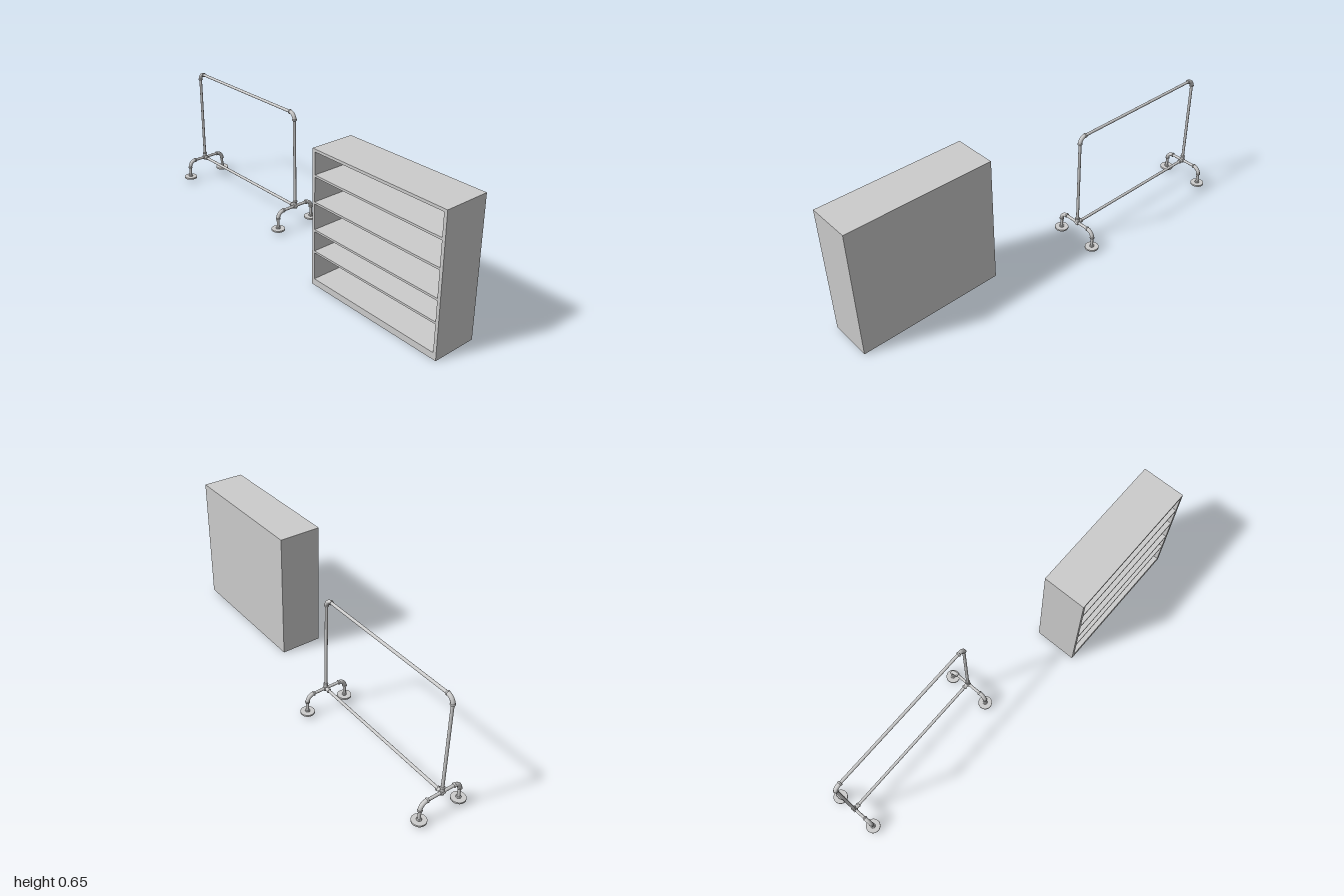
import * as THREE from 'three';

const material = new THREE.MeshStandardMaterial({ color: 0xcccccc, side: THREE.DoubleSide });
const V = (x, y, z) => new THREE.Vector3(x, y, z);
const UP = V(0, 1, 0);
const PIPE_R = 0.007, RING_R = 0.0115, ELBOW_R = 0.0095;

function add(parent, name, geometry, position = V(0, 0, 0)) {
  const mesh = new THREE.Mesh(geometry, material);
  mesh.name = name;
  mesh.position.copy(position);
  parent.add(mesh);
  return mesh;
}

// Straight round bar between two points
function pipe(parent, name, a, b, r = PIPE_R) {
  const dir = b.clone().sub(a);
  const mesh = add(parent, name, new THREE.CylinderGeometry(r, r, dir.length(), 20), a.clone().add(b).multiplyScalar(0.5));
  mesh.quaternion.setFromUnitVectors(UP, dir.normalize());
}

// Rounded ring at the mouth of a fitting
function collar(parent, position, axis) {
  const h = 0.004;
  const profile = [[0, -h], [0.009, -h], [0.011, -h * 0.6], [RING_R, 0], [0.011, h * 0.6], [0.009, h], [0, h]]
    .map(([x, y]) => new THREE.Vector2(x, y));
  const mesh = add(parent, 'collar', new THREE.LatheGeometry(profile, 20), position);
  mesh.quaternion.setFromUnitVectors(UP, axis);
}

// Quarter bend around a corner, with a collar on each end
function elbow(parent, name, corner, dirA, dirB, size) {
  const group = new THREE.Group();
  group.name = name;
  const points = [];
  for (let i = 0; i <= 8; i++) {
    const t = (i / 8) * Math.PI / 2;
    points.push(corner.clone()
      .addScaledVector(dirA, size * (1 - Math.sin(t)))
      .addScaledVector(dirB, size * (1 - Math.cos(t))));
  }
  add(group, 'bend', new THREE.TubeGeometry(new THREE.CatmullRomCurve3(points), 16, ELBOW_R, 16));
  collar(group, points[0], dirA);
  collar(group, points[8], dirB);
  parent.add(group);
}

// Clothes rack made of pipes and fittings
function createRack() {
  const rack = new THREE.Group();
  rack.name = 'pipeRack';
  const z = -0.07, railY = 0.11, topY = 0.594, down = V(0, -1, 0);
  const sides = [
    { x: -0.967, inward: 1, feet: [-0.181, 0.029] },
    { x: -0.18, inward: -1, feet: [-0.171, 0.037] },
  ];
  for (const { x, inward, feet } of sides) {
    const inDir = V(inward, 0, 0);
    pipe(rack, 'post', V(x, railY, z), V(x, topY - 0.03, z));
    elbow(rack, 'topElbow', V(x, topY, z), down, inDir, 0.032);

    // Cross fitting joining post, rail and legs
    pipe(rack, 'teeUpright', V(x, railY - 0.011, z), V(x, railY + 0.026, z), 0.0095);
    pipe(rack, 'teeBody', V(x, railY, z - 0.011), V(x, railY, z + 0.011), 0.0105);
    pipe(rack, 'teeBranch', V(x, railY, z), V(x + inward * 0.025, railY, z), 0.0095);
    collar(rack, V(x, 0.135, z), UP);
    collar(rack, V(x + inward * 0.025, railY, z), inDir);

    // Bent leg and floor flange on both sides
    for (const footZ of feet) {
      const towardPost = V(0, 0, Math.sign(z - footZ));
      pipe(rack, 'legArm', V(x, railY, z), V(x, railY, footZ + towardPost.z * 0.034));
      elbow(rack, 'legElbow', V(x, railY, footZ), towardPost, down, 0.034);
      pipe(rack, 'leg', V(x, 0.02, footZ), V(x, 0.08, footZ));
      collar(rack, V(x, 0.026, footZ), UP);
      add(rack, 'floorFlange', new THREE.CylinderGeometry(0.033, 0.033, 0.008, 32), V(x, 0.019, footZ));
    }
  }
  pipe(rack, 'topRail', V(-0.937, topY, z), V(-0.21, topY, z));
  pipe(rack, 'bottomRail', V(-0.967, railY, z), V(-0.18, railY, z));
  return rack;
}

// Open-fronted shelf cabinet
function createCabinet() {
  const cabinet = new THREE.Group();
  cabinet.name = 'shelfCabinet';
  const x0 = 0.28, x1 = 1, top = 0.646, depth = 0.213, back = 0.015;
  const innerX0 = 0.295, innerX1 = 0.985;
  const openings = [[0.031, 0.161], [0.171, 0.265], [0.275, 0.396], [0.406, 0.52], [0.53, 0.633]];

  const front = new THREE.Shape([[x0, 0], [x1, 0], [x1, top], [x0, top]].map(p => new THREE.Vector2(...p)));
  for (const [y0, y1] of openings) {
    front.holes.push(new THREE.Path(
      [[innerX0, y0], [innerX0, y1], [innerX1, y1], [innerX1, y0]].map(p => new THREE.Vector2(...p))));
  }
  add(cabinet, 'carcassAndShelves',
    new THREE.ExtrudeGeometry(front, { depth: depth - back, bevelEnabled: false }), V(0, 0, back));
  add(cabinet, 'backPanel', new THREE.BoxGeometry(x1 - x0, top, back), V((x0 + x1) / 2, top / 2, back / 2));
  return cabinet;
}

export function createModel() {
  const model = new THREE.Group();
  model.name = 'rackAndCabinet';
  model.add(createRack(), createCabinet());
  return model;
}
